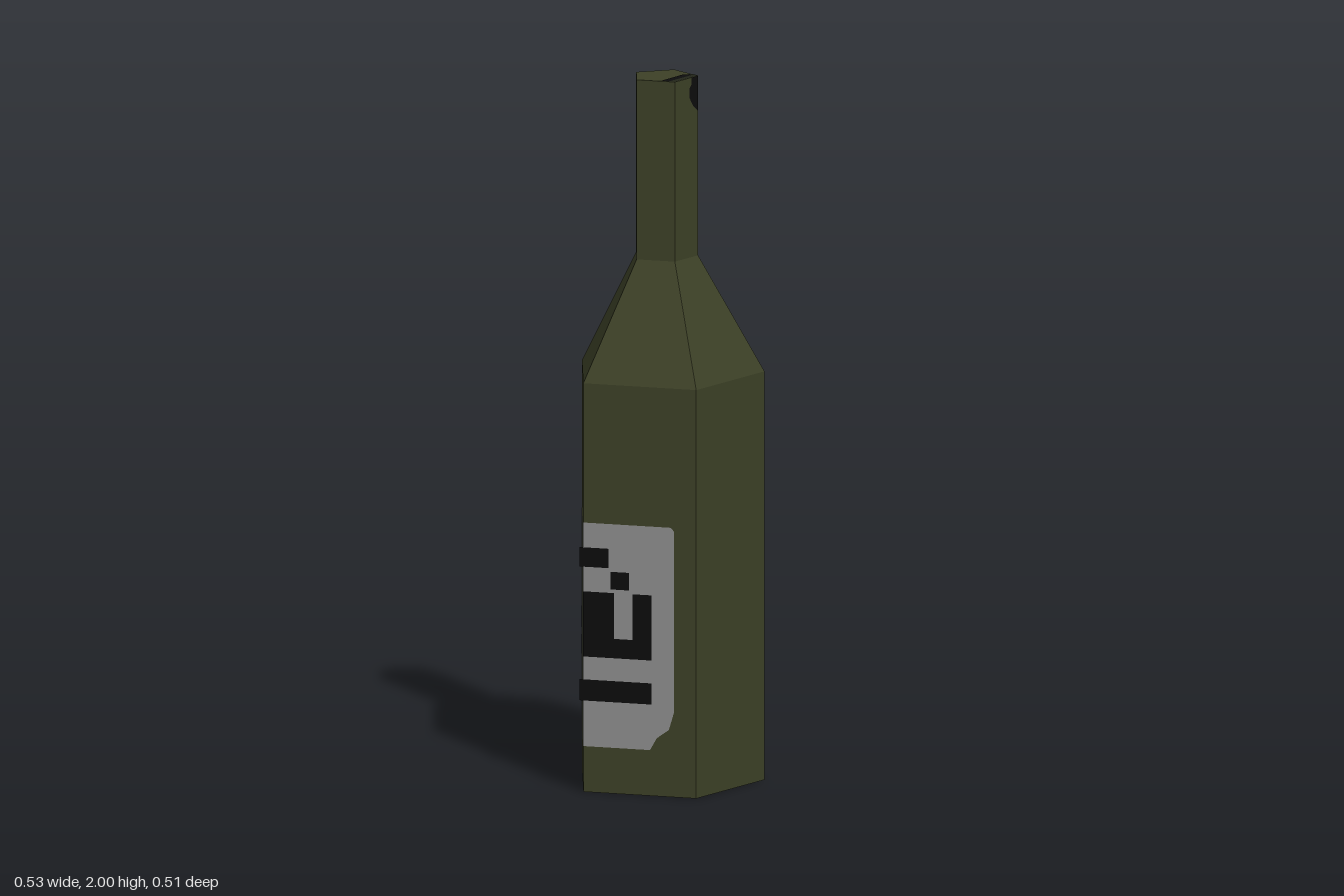
import * as THREE from 'three';

const R = 0.28, NECK_R = 0.095, CENTER_Z = 0.026;
const FOLD = THREE.MathUtils.degToRad(72);

function material(name, color) {
  const m = new THREE.MeshStandardMaterial({ color });
  m.name = name;
  return m;
}

export function createModel() {
  const green = material('olive glass', 0x3d4127);
  const darkGreen = material('dark olive', 0x23261a);
  const paper = material('label grey', 0x8f8f8f);
  const black = material('black', 0x0d0d0d);

  const model = new THREE.Group();
  model.name = 'bottle';

  // Five-sided bottle body, closed at both ends, one vertex towards the back
  const profile = [[0, 0], [R, 0], [R, 1.16], [NECK_R, 1.49], [NECK_R, 2], [0, 2]]
    .map(([r, y]) => new THREE.Vector2(r, y));
  const bodyGeo = new THREE.LatheGeometry(profile, 5, Math.PI).toNonIndexed();
  bodyGeo.computeVertexNormals();
  const body = new THREE.Mesh(bodyGeo, green);
  body.name = 'bottleBody';
  body.position.z = CENTER_Z;
  model.add(body);

  // A frame on one face: local x runs along the face, y up, z outwards
  function faceFrame(name, x, z, angle) {
    const g = new THREE.Group();
    g.name = name;
    g.position.set(x, 0, z);
    g.rotation.y = angle;
    model.add(g);
    return g;
  }
  function plate(parent, name, points, mat, lift) {
    const shape = new THREE.Shape(points.map(([x, y]) => new THREE.Vector2(x, y)));
    const mesh = new THREE.Mesh(new THREE.ShapeGeometry(shape), mat);
    mesh.name = name;
    mesh.position.z = lift;
    parent.add(mesh);
    return mesh;
  }
  const block = (x0, x1, y0, y1) => [[x0, y0], [x1, y0], [x1, y1], [x0, y1]];

  // Label wrapped round the fold between the front face and the -x face
  const edgeX = R * Math.sin(Math.PI / 5);
  const frontZ = CENTER_Z + R * Math.cos(Math.PI / 5);
  const front = faceFrame('frontLabel', -edgeX, frontZ, 0);
  const side = faceFrame('sideLabel', -edgeX, frontZ, -FOLD);

  plate(front, 'labelFront', [
    [-0.001, 0.13], [0.195, 0.13], [0.215, 0.165], [0.25, 0.19],
    [0.265, 0.24], [0.265, 0.755], [0.255, 0.765], [-0.001, 0.765],
  ], paper, 0.002);
  plate(side, 'labelSide', [
    [0.001, 0.13], [0.001, 0.765], [-0.215, 0.765], [-0.245, 0.735],
    [-0.245, 0.15], [-0.225, 0.13],
  ], paper, 0.002);

  // Abstract printed blocks
  const frontMarks = [
    [-0.01, 0.2, 0.26, 0.32], [0, 0.2, 0.385, 0.44], [0, 0.09, 0.44, 0.57],
    [0.145, 0.2, 0.44, 0.57], [0.08, 0.135, 0.58, 0.63], [-0.01, 0.075, 0.64, 0.695],
  ];
  const sideMarks = [
    [-0.16, 0, 0.385, 0.44], [-0.16, -0.09, 0.44, 0.56],
    [-0.06, 0, 0.46, 0.52], [-0.15, -0.12, 0.27, 0.31], [-0.12, -0.06, 0.58, 0.62],
  ];
  frontMarks.forEach((m) => plate(front, 'labelMark', block(...m), black, 0.004));
  sideMarks.forEach((m) => plate(side, 'labelMark', block(...m), black, 0.004));

  // Dark spot near the rim on the +x front face of the neck
  const neckX = NECK_R * Math.sin(Math.PI / 5);
  const neckZ = CENTER_Z + NECK_R * Math.cos(Math.PI / 5);
  const neck = faceFrame('neckFace', neckX, neckZ, FOLD);
  plate(neck, 'rimSpot', [
    [0.11, 1.9], [0.11, 2], [0.078, 2], [0.078, 1.98], [0.068, 1.97],
    [0.068, 1.945], [0.085, 1.92],
  ], black, 0.001);

  // Dark strips on the mouth, beside the same edge (drawn in x, -z)
  const mouth = new THREE.Group();
  mouth.name = 'mouthStrips';
  mouth.rotation.x = -Math.PI / 2;
  mouth.position.y = 1.999;
  model.add(mouth);
  plate(mouth, 'mouthStrip', [
    [0.015, -0.102], [0.039, -0.102], [0.071, 0], [0.065, 0.008], [0.05, 0.006], [0.044, -0.004],
  ], black, 0.002);
  plate(mouth, 'mouthStripEdge', [
    [0.039, -0.102], [0.056, -0.102], [0.09, 0.003], [0.067, 0.02], [0.058, 0.012], [0.071, 0],
  ], darkGreen, 0.002);

  return model;
}
